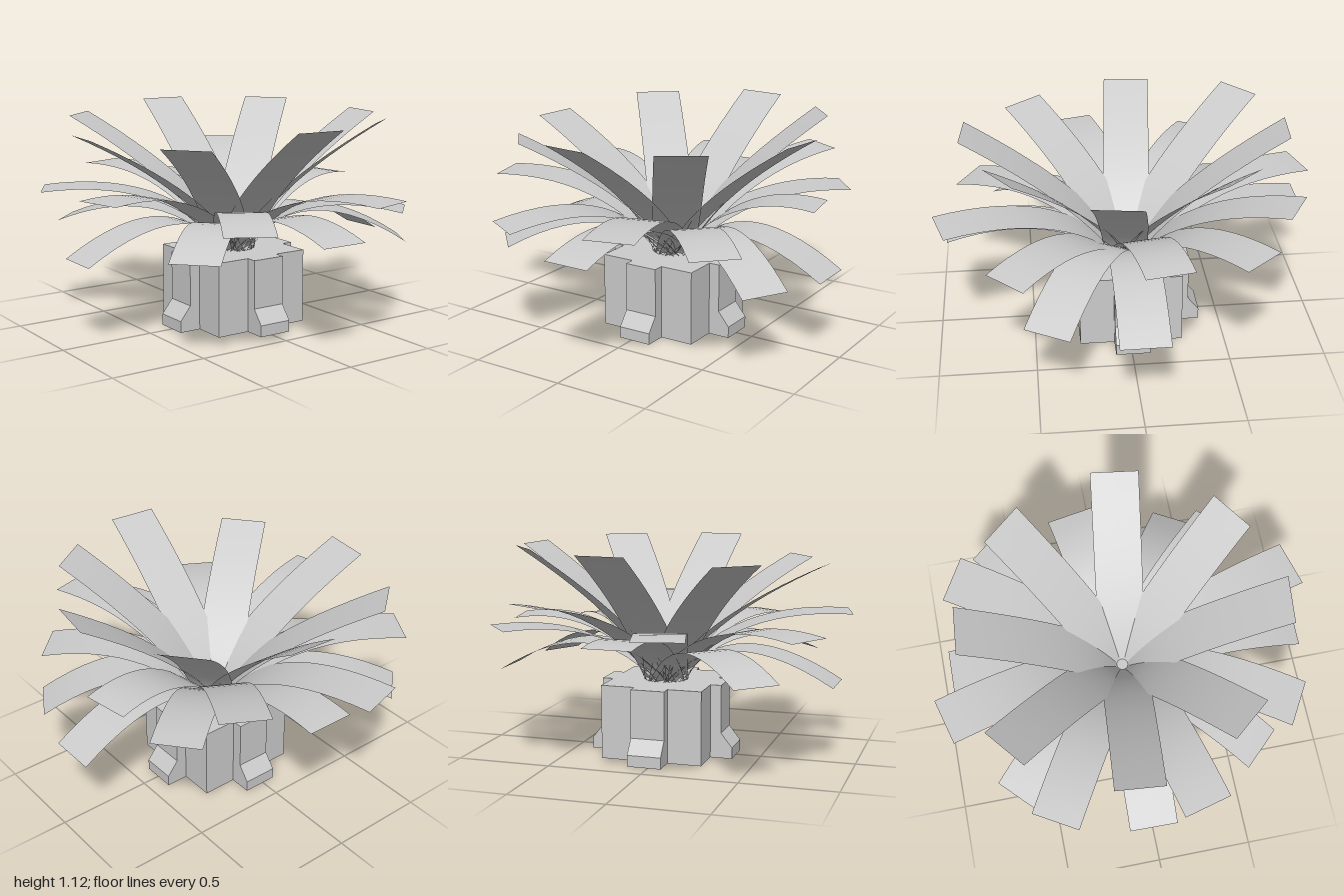
import * as THREE from 'three';

const CX = 0.02, CZ = -0.005, POT_H = 0.39;
const material = new THREE.MeshStandardMaterial({ color: 0xcccccc, side: THREE.DoubleSide });
const flatMaterial = new THREE.MeshStandardMaterial({ color: 0xcccccc, side: THREE.DoubleSide, flatShading: true });

// Outline of the pot: a square with an arm on each side that reaches out to `arm`
function potOutline(arm) {
  const quarter = [[arm, -0.09], [arm, 0.09], [0.27, 0.09], [0.27, 0.27], [0.09, 0.27]];
  const points = [];
  for (let k = 0; k < 4; k++) {
    for (const [x, z] of quarter) {
      points.push([[x, z], [-z, x], [-x, -z], [z, -x]][k]);
    }
  }
  return points;
}

// Walls lofted through outlines, open below; the arms flare into feet
function potWalls() {
  const levels = [[0, 0.387], [0.06, 0.387], [0.135, 0.327], [POT_H, 0.327]];
  const rings = levels.map(([y, arm]) => potOutline(arm).map(([x, z]) => [x, y, z]));
  const pos = [];
  for (let i = 0; i < rings.length - 1; i++) {
    const lo = rings[i], hi = rings[i + 1], n = lo.length;
    for (let j = 0; j < n; j++) {
      const k = (j + 1) % n;
      pos.push(...lo[j], ...hi[j], ...hi[k], ...lo[j], ...hi[k], ...lo[k]);
    }
  }
  const geo = new THREE.BufferGeometry();
  geo.setAttribute('position', new THREE.Float32BufferAttribute(pos, 3));
  geo.computeVertexNormals();
  return geo;
}

// Curved strip running from the middle of the pot to a tip at (x, y, z)
function leafGeometry(x, y, z, bendR, bendY) {
  const dx = x - CX, dz = z - CZ, length = Math.hypot(dx, dz);
  const ux = dx / length, uz = dz / length;
  const curve = new THREE.QuadraticBezierCurve(
    new THREE.Vector2(0.03, POT_H),
    new THREE.Vector2(bendR, bendY),
    new THREE.Vector2(length, y)
  );
  const geo = new THREE.PlaneGeometry(1, 1, 2, 14);
  const p = geo.attributes.position;
  for (let i = 0; i < p.count; i++) {
    const t = p.getY(i) + 0.5;
    const side = p.getX(i) * THREE.MathUtils.lerp(0.225, 0.25, Math.min(1, t * 2));
    const c = curve.getPoint(t);
    p.setXYZ(i, ux * c.x - uz * side, c.y, uz * c.x + ux * side);
  }
  geo.computeVertexNormals();
  return geo;
}

// Leaf tips [x, y, z] in three tiers, with the bend point (radius, height) of each tier
const tiers = [
  {
    name: 'upperLeaf', bendR: 0.2, bendY: 0.72,
    tips: [[0.81, 1.09, 0.11], [0.47, 1.1, 0.65], [-0.06, 1.1, 0.83], [-0.6, 1.02, 0.51],
      [-0.83, 1.03, -0.085], [-0.53, 1.08, -0.68], [0.09, 1.12, -0.82], [0.61, 1.12, -0.51]],
  },
  {
    name: 'middleLeaf', bendR: 0.35, bendY: 0.8,
    tips: [[0.81, 0.43, 0.45], [0.28, 0.74, 0.96], [-0.46, 0.65, 0.83], [-0.92, 0.76, 0.24],
      [-0.84, 0.72, -0.51], [-0.24, 0.76, -0.97], [0.48, 0.87, -0.81], [0.8, 0.72, -0.14]],
  },
  {
    name: 'lowerLeaf', bendR: 0.36, bendY: 0.76,
    tips: [[0.93, 0.41, -0.01], [0.65, 0.63, 0.64], [0.01, 0.57, 0.93], [-0.62, 0.5, 0.61],
      [-0.9, 0.42, -0.02], [-0.63, 0.52, -0.68], [0.03, 0.7, -0.9], [0.72, 0.72, -0.6]],
  },
];

export function createModel() {
  const group = new THREE.Group();
  group.name = 'pottedPlant';

  // Pot
  const pot = new THREE.Group();
  pot.name = 'pot';
  const walls = new THREE.Mesh(potWalls(), flatMaterial);
  walls.name = 'potWalls';
  const outline = new THREE.Shape(potOutline(0.327).map(([x, z]) => new THREE.Vector2(x, -z)));
  const top = new THREE.Mesh(new THREE.ShapeGeometry(outline).rotateX(-Math.PI / 2), flatMaterial);
  top.name = 'potTop';
  top.position.y = POT_H;
  pot.add(walls, top);

  // Leaves
  const leaves = new THREE.Group();
  leaves.name = 'leaves';
  for (const { name, bendR, bendY, tips } of tiers) {
    for (const [x, y, z] of tips) {
      const leaf = new THREE.Mesh(leafGeometry(x, y, z, bendR, bendY), material);
      leaf.name = name;
      leaves.add(leaf);
    }
  }

  pot.position.set(CX, 0, CZ);
  leaves.position.set(CX, 0, CZ);
  group.add(pot, leaves);
  return group;
}
